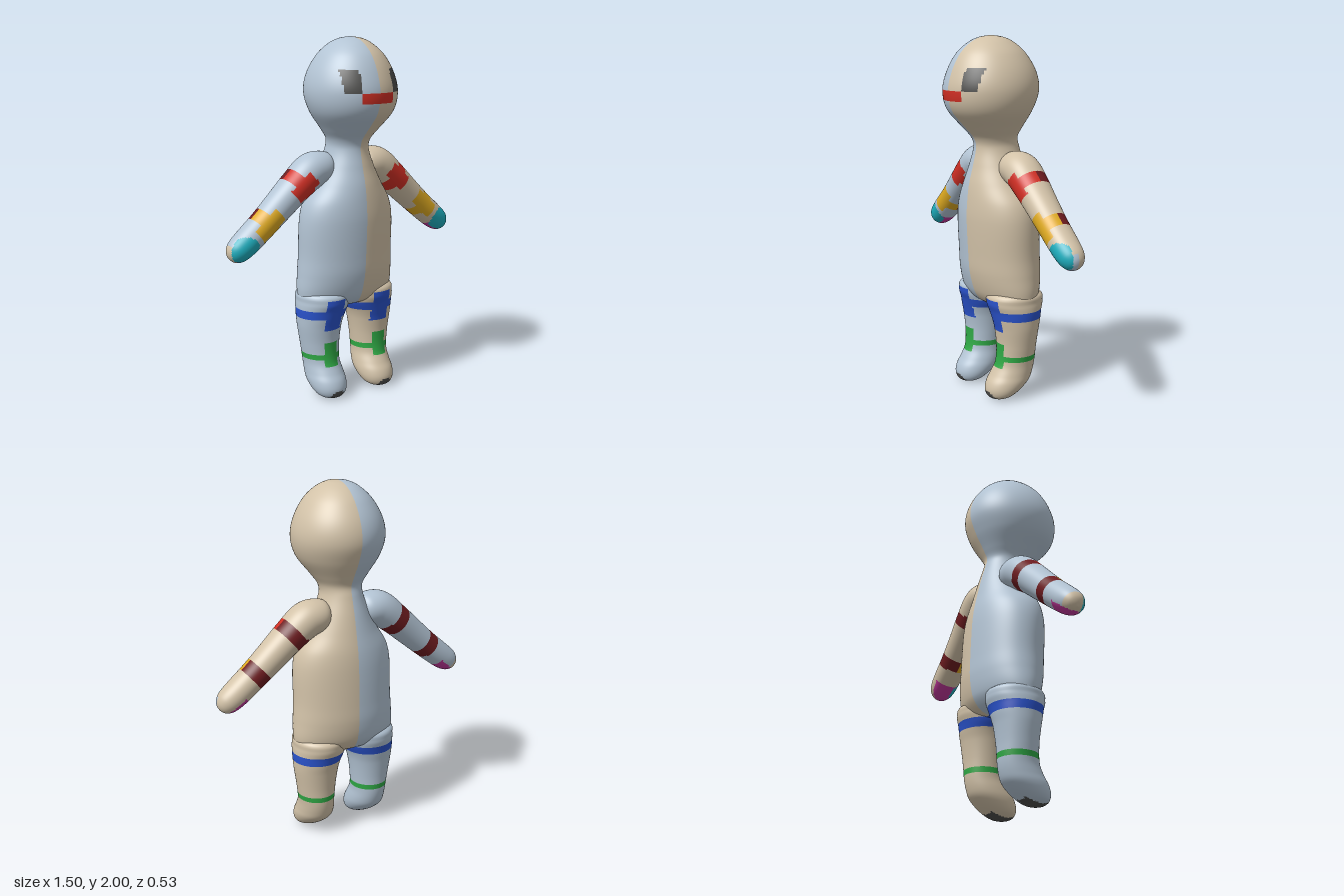
import * as THREE from 'three';

const mat = (name, color) => {
  const m = new THREE.MeshStandardMaterial({ color });
  m.name = name;
  return m;
};
const MATS = [
  mat('paleBlue', 0xb3c4d4), mat('beige', 0xd2c2a8), mat('darkGrey', 0x4c4c4a),
  mat('red', 0xd02f24), mat('darkRed', 0x6e1c20), mat('yellow', 0xdfab22),
  mat('cyan', 0x1fb0c0), mat('magenta', 0xc0379a), mat('blue', 0x2a53cc), mat('green', 0x2fa845),
];
const [PALE, BEIGE, GREY, RED, DARK, YELLOW, CYAN, MAGENTA, BLUE, GREEN] = MATS.keys();

// Smoothly fill in between key rows; the first number of a row is its position
function refine(rows, step) {
  const out = [];
  for (let i = 0; i < rows.length - 1; i++) {
    const a = rows[Math.max(i - 1, 0)], b = rows[i], c = rows[i + 1], d = rows[Math.min(i + 2, rows.length - 1)];
    const h = c[0] - b[0], n = Math.max(3, Math.ceil(Math.abs(h) / step));
    for (let k = 0; k < n; k++) {
      const t = k / n, t2 = t * t, t3 = t2 * t;
      out.push(b.map((v, j) => {
        if (j === 0) return v + h * t;
        const m0 = (c[j] - a[j]) / (c[0] - a[0]) * h, m1 = (d[j] - v) / (d[0] - b[0]) * h;
        return (2 * t3 - 3 * t2 + 1) * v + (t3 - 2 * t2 + t) * m0 + (3 * t2 - 2 * t3) * c[j] + (t3 - t2) * m1;
      }));
    }
  }
  out.push(rows[rows.length - 1]);
  return out;
}

// Skin a list of rows; each face takes the colour that paint() gives for its middle
function loft(name, rows, segs, point, paint, flip = false) {
  const pos = [], lists = MATS.map(() => []);
  for (const row of rows)
    for (let j = 0; j < segs; j++) pos.push(...point(row, j / segs * Math.PI * 2));
  for (let i = 0; i < rows.length - 1; i++)
    for (let j = 0; j < segs; j++) {
      const k = (j + 1) % segs;
      const a = i * segs + j, c = i * segs + k, b = a + segs, d = c + segs;
      const mid = [0, 1, 2].map(q => (pos[a * 3 + q] + pos[b * 3 + q] + pos[c * 3 + q] + pos[d * 3 + q]) / 4);
      lists[paint(...mid)].push(...(flip ? [a, b, c, c, b, d] : [a, c, b, c, d, b]));
    }
  const geo = new THREE.BufferGeometry();
  geo.setAttribute('position', new THREE.Float32BufferAttribute(pos, 3));
  geo.setIndex(lists.flat());
  let start = 0;
  lists.forEach((list, m) => {
    if (list.length) geo.addGroup(start, list.length, m);
    start += list.length;
  });
  geo.computeVertexNormals();
  const mesh = new THREE.Mesh(geo, MATS);
  mesh.name = name;
  return mesh;
}

const side = x => (x < 0 ? PALE : BEIGE);

// Face, leg bands, leg patches and soles
function paintBody(x, y, z) {
  const ax = Math.abs(x);
  if (y > 1.5) {
    if (z > 0 && ax > 0.1 && ax < 0.18 && y > 1.71 && y < 1.83) return GREY;
    if (z > 0 && ax < 0.1 && y > 1.655 && y < 1.708) return RED;
    return side(x);
  }
  const front = z > -0.03;
  if (y > 0.458 && y < 0.505) return BLUE;
  if (front && ax > 0.105 && ax < 0.215 && y > 0.388 && y < 0.575) return BLUE;
  if (y > 0.216 && y < 0.252) return GREEN;
  if (front && ax > 0.125 && ax < 0.21 && y > 0.18 && y < 0.32) return GREEN;
  if (y < 0.05 && z > -0.035 && Math.hypot((ax - 0.167) / 0.05, y / 0.05) < 1) return GREY;
  return side(x);
}

// Arm bands, front patches and hands, measured along (u) and across (v) the arm
function paintArm(x, y, z) {
  const dx = Math.abs(x) - 0.317, dy = y - 1.21;
  const u = dx * 0.755 - dy * 0.656, v = dx * 0.656 + dy * 0.755;
  for (const [at, len, colour] of [[0, 0.075, RED], [0.282, 0.085, YELLOW]]) {
    if (Math.abs(u - at) < 0.034) return z > -0.06 ? colour : DARK;
    if (Math.abs(u - at) < len && Math.abs(v) < 0.045 && z > -0.03) return colour;
  }
  if (z > -0.03 && Math.hypot((u - 0.475) / 0.085, v / 0.075) < 1) return CYAN;
  if (u > 0.41 && u < 0.54 && v < -0.02) return MAGENTA;
  if (u > 0.5 && (x < 0 || z > -0.06)) return x < 0 ? BEIGE : PALE;
  return side(x);
}

export function createModel() {
  const model = new THREE.Group();
  model.name = 'doll';

  // Head, neck and torso: y, half width, front z, back z
  const body = [
    [2, 0, 0, 0], [1.99, 0.06, 0.065, -0.065], [1.96, 0.117, 0.13, -0.13], [1.9, 0.18, 0.195, -0.195],
    [1.8, 0.235, 0.247, -0.252], [1.7, 0.252, 0.268, -0.265], [1.6, 0.226, 0.243, -0.23],
    [1.5, 0.155, 0.155, -0.175], [1.45, 0.122, 0.11, -0.152], [1.4, 0.116, 0.095, -0.162],
    [1.3, 0.15, 0.115, -0.19], [1.2, 0.2, 0.14, -0.213], [1.1, 0.262, 0.153, -0.233],
    [1, 0.286, 0.157, -0.243], [0.8, 0.29, 0.147, -0.25], [0.7, 0.297, 0.138, -0.25],
    [0.6, 0.301, 0.112, -0.233], [0.55, 0.285, 0.085, -0.205], [0.52, 0.23, 0.05, -0.17],
    [0.5, 0.11, -0.01, -0.1], [0.495, 0, -0.05, -0.05],
  ];
  model.add(loft('headAndTorso', refine(body, 0.012), 120, ([y, w, f, b], a) =>
    [w * Math.cos(a), y, (f + b) / 2 + (f - b) / 2 * Math.sin(a)], paintBody));

  // Legs and feet: y, centre x, half width, front z, back z
  const leg = [
    [0.64, 0.15, 0, -0.06, -0.06], [0.6, 0.15, 0.135, 0.08, -0.2], [0.55, 0.153, 0.149, 0.1, -0.219],
    [0.5, 0.158, 0.148, 0.085, -0.206], [0.45, 0.168, 0.136, 0.073, -0.196], [0.4, 0.173, 0.127, 0.062, -0.185],
    [0.3, 0.173, 0.112, 0.052, -0.172], [0.2, 0.17, 0.102, 0.06, -0.165], [0.14, 0.167, 0.106, 0.09, -0.152],
    [0.1, 0.167, 0.108, 0.115, -0.133], [0.06, 0.167, 0.101, 0.126, -0.09], [0.03, 0.167, 0.086, 0.121, -0.045],
    [0.012, 0.167, 0.063, 0.108, -0.01], [0.003, 0.167, 0.035, 0.088, 0.025], [0, 0.167, 0, 0.06, 0.06],
  ];
  // Arms: distance, x, y, radius across, radius in z
  const arm = [
    [0, 0.09, 1.295, 0, 0], [0.02, 0.1, 1.295, 0.06, 0.06], [0.06, 0.14, 1.295, 0.087, 0.095],
    [0.14, 0.22, 1.281, 0.098, 0.105], [0.26, 0.317, 1.21, 0.09, 0.1], [0.4, 0.424, 1.117, 0.083, 0.09],
    [0.54, 0.53, 1.025, 0.077, 0.083], [0.68, 0.637, 0.938, 0.073, 0.079], [0.75, 0.69, 0.897, 0.066, 0.07],
    [0.79, 0.717, 0.873, 0.05, 0.052], [0.812, 0.732, 0.86, 0.026, 0.028], [0.82, 0.737, 0.856, 0, 0],
  ];
  const armRows = refine(arm, 0.01);
  // Direction of the arm at every row, for tilting its cross-sections
  armRows.forEach((row, i) => {
    const p = armRows[Math.max(i - 4, 0)], q = armRows[Math.min(i + 4, armRows.length - 1)];
    row.dir = new THREE.Vector2(q[1] - p[1], q[2] - p[2]).normalize();
  });

  for (const [s, label] of [[1, 'left'], [-1, 'right']]) {
    model.add(loft(label + 'Leg', refine(leg, 0.01), 72, ([y, cx, w, f, b], a) =>
      [s * (cx + w * Math.cos(a)), y, (f + b) / 2 + (f - b) / 2 * Math.sin(a)], paintBody, s < 0));
    model.add(loft(label + 'Arm', armRows, 64, (row, a) => {
      const [, x, y, r, rz] = row, c = r * Math.cos(a);
      return [s * (x - row.dir.y * c), y + row.dir.x * c, -0.06 + rz * Math.sin(a)];
    }, paintArm, s < 0));
  }
  return model;
}
